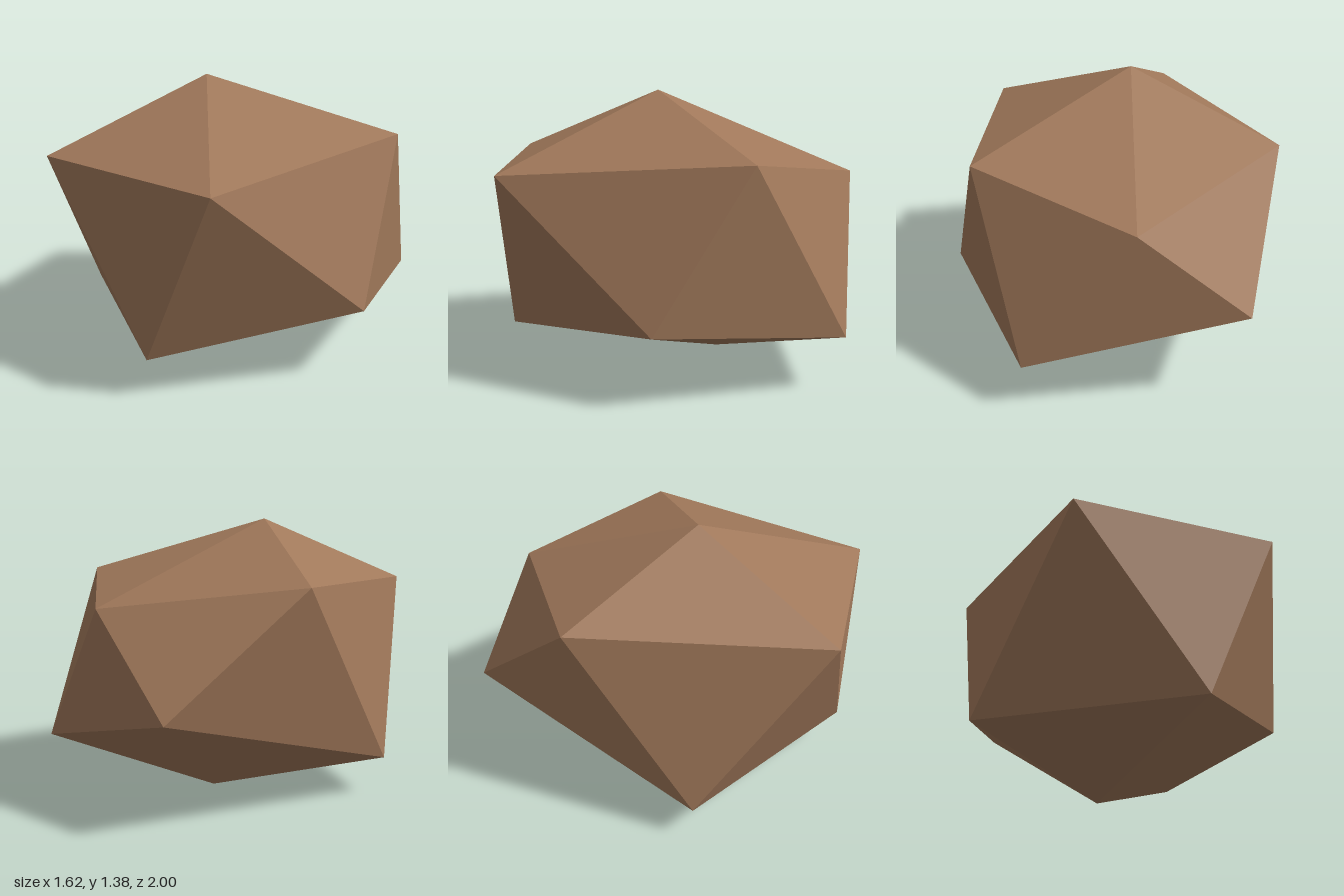
import * as THREE from 'three';

// Faceted boulder: a top point, two staggered rings of five, a bottom point
export function createModel() {
  const top = [-0.13, 1.38, 0.11];
  const upper = [
    [-0.7, 1.055, 0.7], [0.225, 1.03, 1.0], [0.805, 1.11, -0.045],
    [0.34, 0.98, -0.77], [-0.605, 1.09, -0.52],
  ];
  const lower = [
    [-0.13, 0.2, 0.9], [0.76, 0.365, 0.42], [0.805, 0.275, -0.515],
    [-0.13, 0.535, -1.0], [-0.81, 0.19, 0.06],
  ];
  const bottom = [0.04, 0, -0.16];

  // Cap, zigzag belt and base, one fifth at a time
  const corners = [];
  const face = (a, b, c) => corners.push(...a, ...b, ...c);
  for (let i = 0; i < 5; i++) {
    const j = (i + 1) % 5;
    face(top, upper[i], upper[j]);
    face(upper[i], lower[i], upper[j]);
    face(upper[j], lower[i], lower[j]);
    face(bottom, lower[j], lower[i]);
  }
  const geometry = new THREE.BufferGeometry();
  geometry.setAttribute('position', new THREE.Float32BufferAttribute(corners, 3));
  geometry.computeVertexNormals();

  const stone = new THREE.MeshStandardMaterial({ color: 0xa0785a, flatShading: true });
  stone.name = 'brown stone';
  const boulder = new THREE.Mesh(geometry, stone);
  boulder.name = 'boulder';

  const model = new THREE.Group();
  model.name = 'rock';
  model.add(boulder);
  return model;
}
